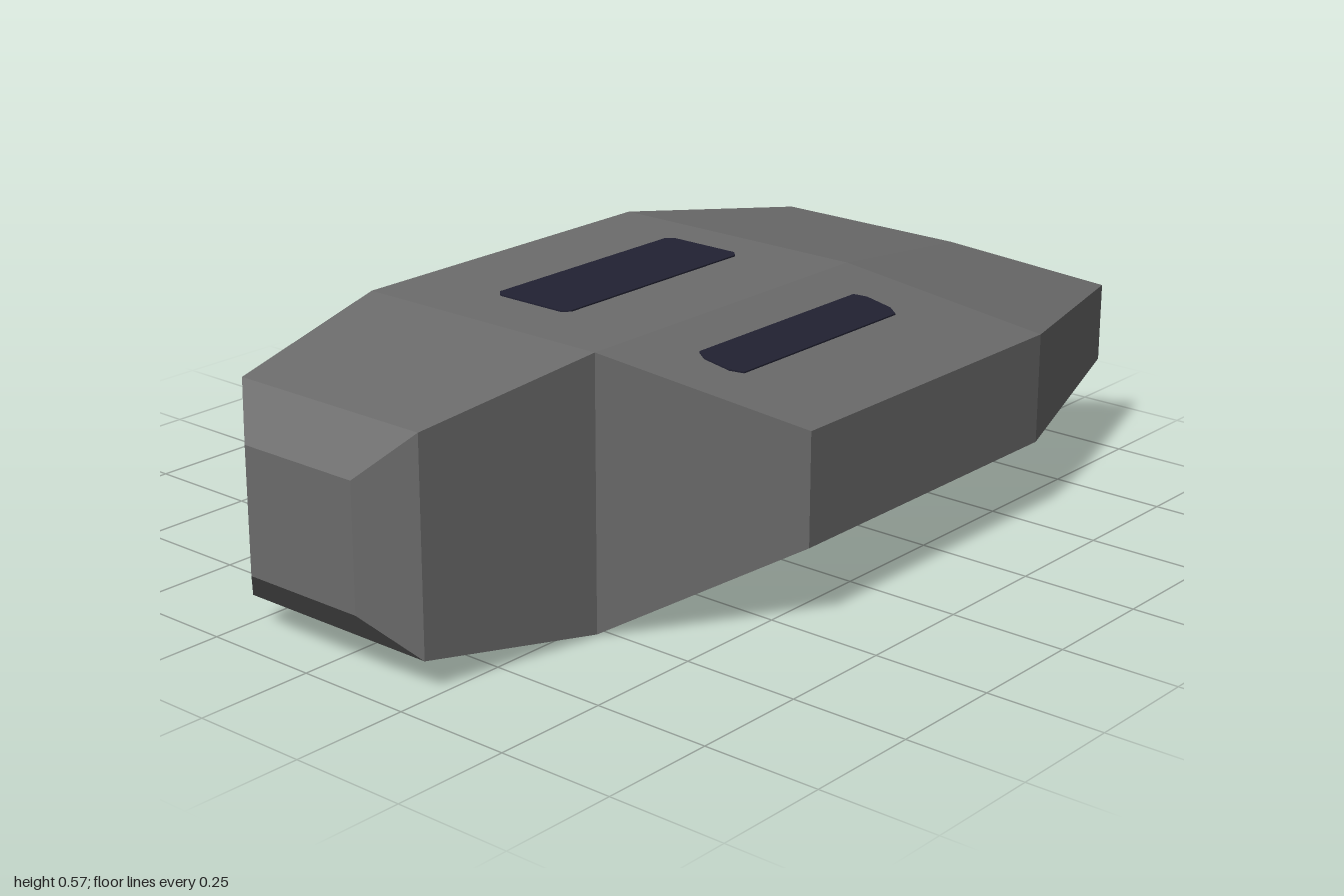
import * as THREE from 'three';

const MID = 0.2825; // height of the hull's plane of symmetry

// Hull stations on the +x side: x, z, half height
const P = {
  nose: [0.14, 1, 0.13],
  cheek: [0.232, 0.92, 0.22],
  shoulder: [0.295, 0.525, 0.2825],
  wingFront: [0.58, 0.24, 0.118],
  wingBack: [0.58, -0.53, 0.118],
  tip: [0.433, -1, 0.086],
  notch: [0.22, -0.715, 0.208],
  hip: [0.295, -0.24, 0.2825],
};

function hullGeometry() {
  const pos = [];
  const at = (p, side, up) => [side * p[0], MID + up * p[2], p[1]];
  const quad = (a, b, c, d) => pos.push(...a, ...b, ...c, ...a, ...c, ...d);

  // Upright walls around the closed outline, counterclockwise from above
  const half = [P.nose, P.cheek, P.shoulder, P.wingFront, P.wingBack, P.tip, P.notch];
  const loop = [...half.map((p) => [p, 1]), ...half.slice().reverse().map((p) => [p, -1])];
  loop.forEach(([a, s], i) => {
    const [b, t] = loop[(i + 1) % loop.length];
    quad(at(a, s, -1), at(b, t, -1), at(b, t, 1), at(a, s, 1));
  });

  // Top and bottom skins
  const skin = (corners) => {
    quad(...corners.map(([p, s]) => at(p, s, 1)));
    quad(...corners.map(([p, s]) => at(p, s, -1)).reverse());
  };
  const spine = [P.nose, P.cheek, P.shoulder, P.hip, P.notch];
  for (let i = 0; i < spine.length - 1; i++) {
    skin([[spine[i], -1], [spine[i], 1], [spine[i + 1], 1], [spine[i + 1], -1]]);
  }
  const wings = [
    [P.shoulder, P.wingFront, P.wingBack, P.hip],
    [P.hip, P.wingBack, P.tip, P.notch],
  ];
  for (const w of wings) {
    skin(w.map((p) => [p, 1]));
    skin(w.map((p) => [p, -1]).reverse());
  }

  const g = new THREE.BufferGeometry();
  g.setAttribute('position', new THREE.Float32BufferAttribute(pos, 3));
  g.computeVertexNormals();
  return g;
}

// Thin panel with clipped corners, lying flat and centred on its origin
function panelGeometry(width, length, thickness = 0.006) {
  const w = width / 2, l = length / 2, c = 0.015;
  const shape = new THREE.Shape([
    [-w + c, -l], [w - c, -l], [w, -l + c], [w, l - c],
    [w - c, l], [-w + c, l], [-w, l - c], [-w, -l + c],
  ].map(([x, y]) => new THREE.Vector2(x, y)));
  const g = new THREE.ExtrudeGeometry(shape, { depth: thickness, bevelEnabled: false });
  return g.translate(0, 0, -thickness / 2).rotateX(-Math.PI / 2);
}

export function createModel() {
  const hullGrey = new THREE.MeshStandardMaterial({ color: 0x6c6c6c });
  hullGrey.name = 'hullGrey';
  const windowNavy = new THREE.MeshStandardMaterial({ color: 0x222233 });
  windowNavy.name = 'windowNavy';

  const model = new THREE.Group();
  model.name = 'spacecraft';
  const add = (name, geometry, material) => {
    const mesh = new THREE.Mesh(geometry, material);
    mesh.name = name;
    model.add(mesh);
  };

  add('hull', hullGeometry(), hullGrey);
  add('topWindow', panelGeometry(0.19, 0.525).translate(0, 2 * MID, 0.122), windowNavy);

  // Wing windows: swept back and tilted onto the sloping skin
  const slope = (P.shoulder[2] - P.wingFront[2]) / (P.wingFront[0] - P.shoulder[0]);
  for (const side of [1, -1]) {
    const label = side > 0 ? 'left' : 'right';
    const wing = panelGeometry(0.068, 0.51);
    const p = wing.attributes.position;
    for (let i = 0; i < p.count; i++) {
      const x = p.getX(i);
      p.setY(i, p.getY(i) - side * slope * x);
      p.setZ(i, p.getZ(i) - side * 0.75 * x);
    }
    wing.computeVertexNormals();
    const x = 0.398;
    wing.translate(side * x, 2 * MID - slope * (x - P.shoulder[0]), 0.043);
    add(label + 'WingWindow', wing, windowNavy);

    add(label + 'BellyWindow', panelGeometry(0.13, 0.525).translate(side * 0.14, 0, 0.122), windowNavy);
  }
  return model;
}
